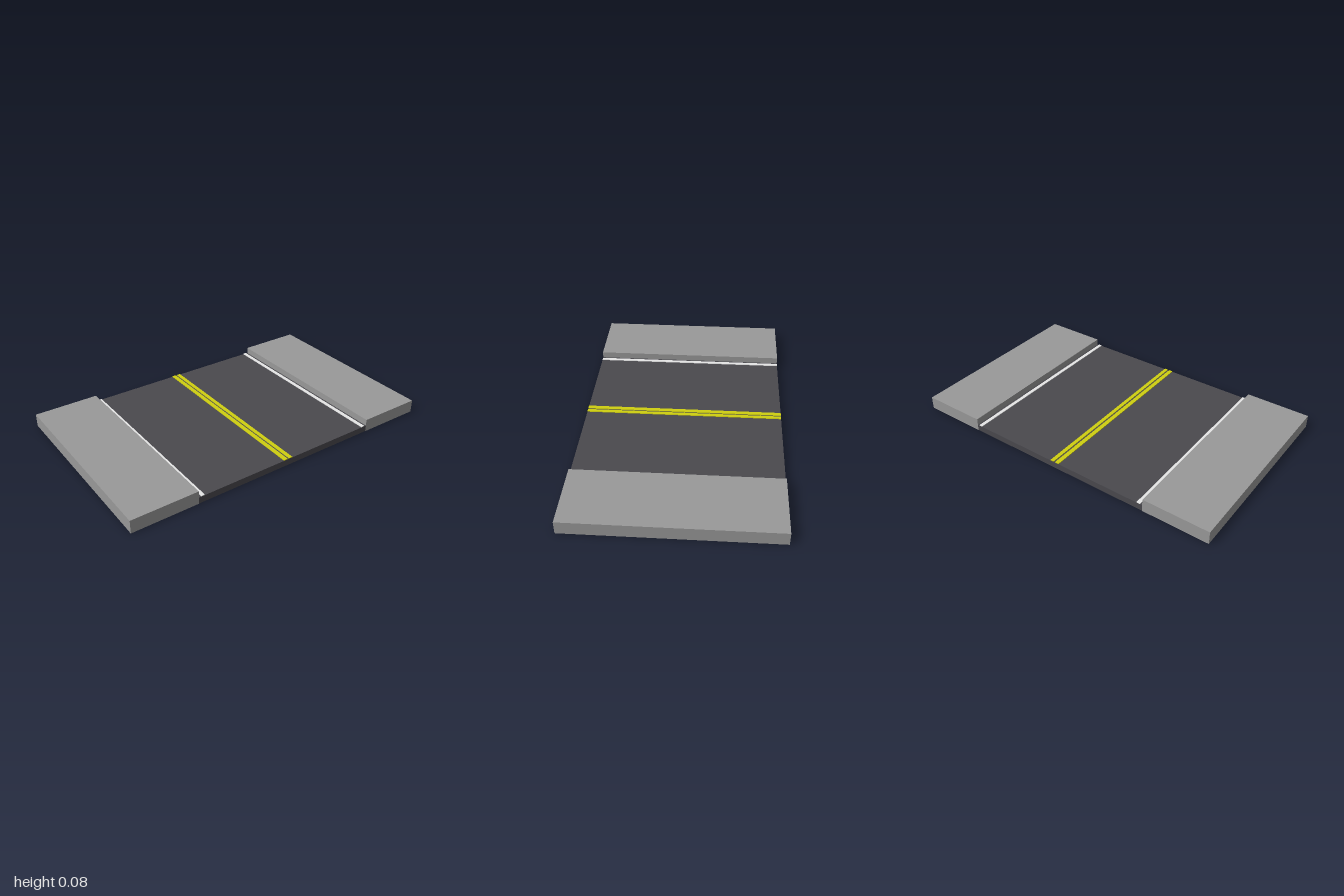
import * as THREE from 'three';

export function createModel() {
  const group = new THREE.Group();
  const material = (name, color) => {
    const m = new THREE.MeshStandardMaterial({ color });
    m.name = name;
    return m;
  };
  const concrete = material('concrete', 0x999999);
  const asphalt = material('asphalt', 0x4a494e);
  const white = material('whitePaint', 0xe6e6e6);
  const yellow = material('yellowPaint', 0xcfcf10);

  const length = 1.2, roadTop = 0.04;

  // Full-length slab spanning x0..x1 and y0..y1
  function slab(name, x0, x1, y0, y1, mat) {
    const mesh = new THREE.Mesh(new THREE.BoxGeometry(x1 - x0, y1 - y0, length), mat);
    mesh.position.set((x0 + x1) / 2, (y0 + y1) / 2, 0);
    mesh.name = name;
    group.add(mesh);
  }

  // Road bed and its concrete underside
  slab('road', -0.6, 0.6, 0.001, roadTop, asphalt);
  const underside = new THREE.Mesh(new THREE.PlaneGeometry(1.2, length), concrete);
  underside.rotation.x = Math.PI / 2;
  underside.name = 'roadUnderside';
  group.add(underside);

  // Raised pavements
  slab('rightSidewalk', -1, -0.6, 0, 0.08, concrete);
  slab('leftSidewalk', 0.6, 1, 0, 0.08, concrete);

  // Painted edge lines and double centre line
  const lineTop = roadTop + 0.004;
  slab('rightEdgeLine', -0.586, -0.564, roadTop, lineTop, white);
  slab('leftEdgeLine', 0.564, 0.586, roadTop, lineTop, white);
  slab('rightCentreLine', -0.034, -0.008, roadTop, lineTop, yellow);
  slab('leftCentreLine', 0.002, 0.025, roadTop, lineTop, yellow);

  return group;
}
